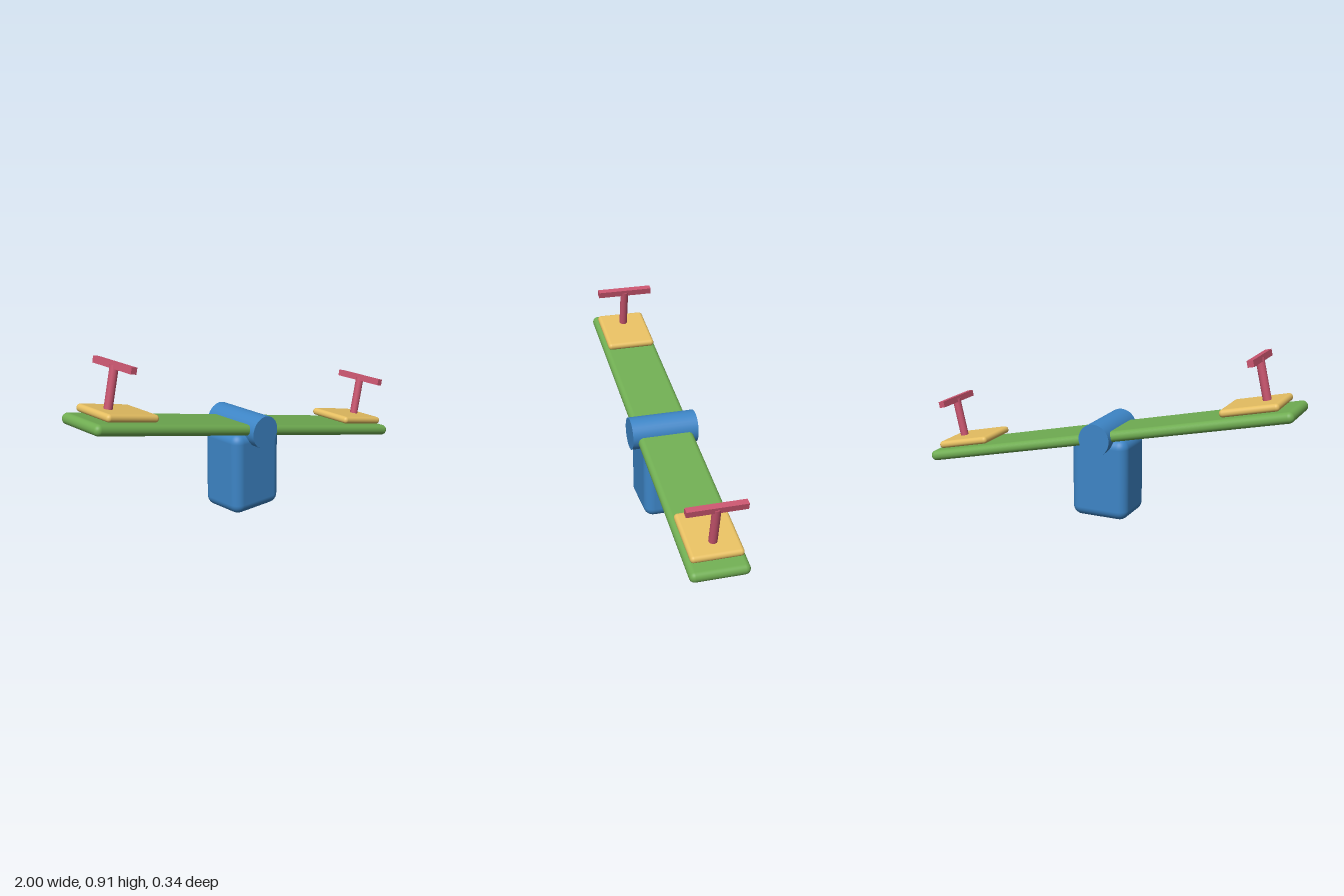
import * as THREE from 'three';
import { RoundedBoxGeometry } from 'three/addons/geometries/RoundedBoxGeometry.js';

const BLUE = 0x3d85c6, GREEN = 0x70ad52, YELLOW = 0xe6bf62, RED = 0xc9556f;
const PIVOT_Y = 0.428, TILT = -0.22;

function add(parent, name, geometry, color, x = 0, y = 0, z = 0) {
  const mesh = new THREE.Mesh(geometry, new THREE.MeshStandardMaterial({ color }));
  mesh.name = name;
  mesh.position.set(x, y, z);
  parent.add(mesh);
  return mesh;
}

export function createModel() {
  const model = new THREE.Group();
  model.name = 'seesaw';

  // Fixed support: rounded block and the axle lying along z
  add(model, 'base', new RoundedBoxGeometry(0.306, 0.426, 0.256, 5, 0.05), BLUE, 0, 0.213);
  const axle = add(model, 'axle', new THREE.CylinderGeometry(0.083, 0.083, 0.342, 32), BLUE, 0, PIVOT_Y);
  axle.rotation.x = Math.PI / 2;

  // Everything on the plank tilts about the axle
  const beam = new THREE.Group();
  beam.name = 'tiltingBeam';
  beam.position.y = PIVOT_Y;
  beam.rotation.z = TILT;
  model.add(beam);
  add(beam, 'plank', new RoundedBoxGeometry(2.047, 0.055, 0.288, 5, 0.027), GREEN);

  // A seat and a T-shaped handle at each end
  for (const [side, s] of [['left', 1], ['right', -1]]) {
    add(beam, side + 'Seat', new RoundedBoxGeometry(0.3, 0.038, 0.256, 4, 0.0185), YELLOW, s * 0.81, 0.053);
    add(beam, side + 'HandlePost', new THREE.CylinderGeometry(0.021, 0.021, 0.216, 20), RED, s * 0.869, 0.168);
    add(beam, side + 'HandleBar', new THREE.BoxGeometry(0.032, 0.032, 0.29), RED, s * 0.869, 0.275);
  }
  return model;
}
